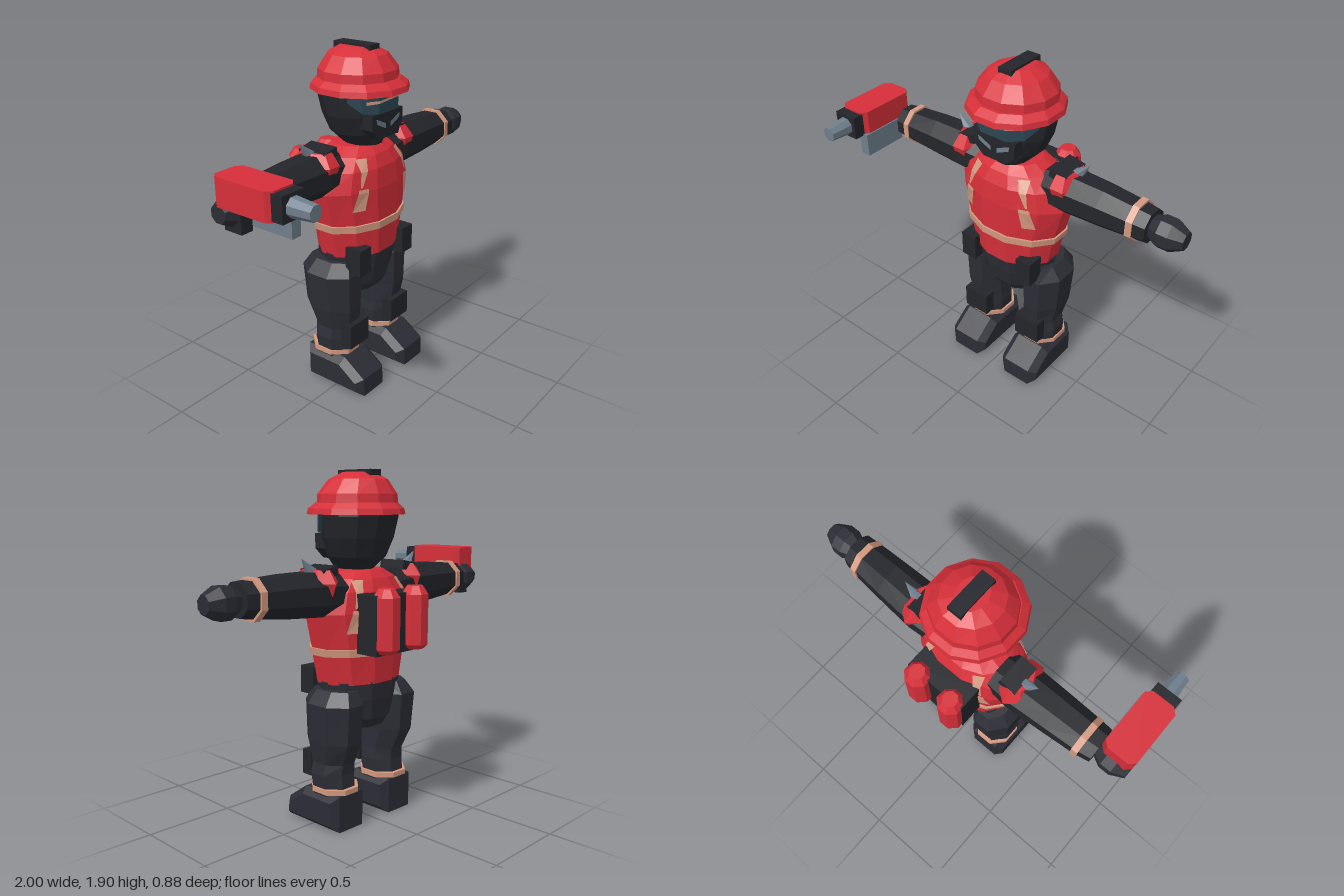
import * as THREE from 'three';

const mat = (name, color) => {
  const m = new THREE.MeshStandardMaterial({ color });
  m.name = name;
  return m;
};

// Facet a geometry so every face has its own normal
function facet(geo) {
  const g = geo.index ? geo.toNonIndexed() : geo;
  g.computeVertexNormals();
  return g;
}

// Closed loft along an axis; each ring is [t, centre1, centre2, radius1, radius2]
function loft(axis, n, rings) {
  const pos = [], idx = [], k = 1 / Math.cos(Math.PI / n);
  for (const [t, c1, c2, r1, r2] of rings) {
    for (let i = 0; i < n; i++) {
      const a = ((i + 0.5) / n) * Math.PI * 2, c = Math.cos(a) * k, s = Math.sin(a) * k;
      if (axis === 'y') pos.push(c1 + r1 * s, t, c2 + r2 * c);
      else if (axis === 'x') pos.push(t, c1 + r1 * c, c2 + r2 * s);
      else pos.push(c1 + r1 * c, c2 + r2 * s, t);
    }
  }
  const last = (rings.length - 1) * n;
  for (let i = 0; i < n; i++) {
    const j = (i + 1) % n;
    for (let o = 0; o < last; o += n) idx.push(o + i, o + j, o + n + j, o + i, o + n + j, o + n + i);
    if (i > 0 && i < n - 1) idx.push(0, i + 1, i, last, last + i, last + i + 1);
  }
  const g = new THREE.BufferGeometry();
  g.setAttribute('position', new THREE.Float32BufferAttribute(pos, 3));
  g.setIndex(idx);
  return facet(g);
}

// Open strip through pairs of points
function strip(pairs) {
  const g = new THREE.BufferGeometry(), idx = [];
  g.setAttribute('position', new THREE.Float32BufferAttribute(pairs.flat(2), 3));
  for (let i = 0; i < pairs.length - 1; i++) {
    const a = i * 2;
    idx.push(a, a + 1, a + 3, a, a + 3, a + 2);
  }
  g.setIndex(idx);
  return facet(g);
}

const shape = (pts) => new THREE.Shape(pts.map(([x, y]) => new THREE.Vector2(x, y)));

// Box given by its minimum and maximum corners
const box = (x0, x1, y0, y1, z0, z1) => facet(new THREE.BoxGeometry(x1 - x0, y1 - y0, z1 - z0)
  .translate((x0 + x1) / 2, (y0 + y1) / 2, (z0 + z1) / 2));

// Mirror across x and restore the winding
function mirrored(geo) {
  const g = geo.clone(), p = g.attributes.position, v = new THREE.Vector3(), w = new THREE.Vector3();
  g.scale(-1, 1, 1);
  for (let i = 0; i < p.count; i += 3) {
    v.fromBufferAttribute(p, i + 1);
    w.fromBufferAttribute(p, i + 2);
    p.setXYZ(i + 1, w.x, w.y, w.z);
    p.setXYZ(i + 2, v.x, v.y, v.z);
  }
  g.computeVertexNormals();
  return g;
}

export function createModel() {
  const red = mat('red armour', 0xd62f39), dark = mat('charcoal cloth', 0x2c2d35);
  const black = mat('black rubber', 0x23252a), tan = mat('tan trim', 0xd2987f);
  const teal = mat('teal visor', 0x2b4653), steel = mat('steel', 0x6f7f8c);
  tan.side = teal.side = THREE.DoubleSide;

  const model = new THREE.Group();
  model.name = 'armouredTrooper';
  const add = (name, geo, m) => {
    const mesh = new THREE.Mesh(geo, m);
    mesh.name = name;
    model.add(mesh);
  };
  const both = (name, geo, m) => {
    add(name + 'Left', geo, m);
    add(name + 'Right', mirrored(geo), m);
  };

  // Torso, belt and pelvis
  const torso = [[0.79, 0, -0.06, 0.25, 0.19], [0.97, 0, -0.06, 0.285, 0.2], [1.17, 0, -0.06, 0.335, 0.2],
    [1.28, 0, -0.06, 0.295, 0.19], [1.345, 0, -0.06, 0.22, 0.16], [1.385, 0, -0.06, 0.14, 0.12]];
  add('torso', loft('y', 12, torso), red);
  add('belt', loft('y', 12, [[0.945, 0, -0.06, 0.293, 0.21], [0.985, 0, -0.06, 0.3, 0.211]]), tan);
  add('pelvis', loft('y', 10, [[0.535, 0, -0.07, 0.155, 0.12], [0.59, 0, -0.07, 0.185, 0.155],
    [0.7, 0, -0.065, 0.235, 0.175], [0.8, 0, -0.06, 0.25, 0.185]]), dark);
  both('pouch', box(0.145, 0.24, 0.71, 0.86, 0.04, 0.14), black);

  // Shoulder straps laid over the torso, front and back; rows are [y, inner x, outer x]
  const depth = (x, y) => {
    const i = Math.max(1, torso.findIndex((r) => r[0] >= y));
    const a = torso[i - 1], b = torso[i], f = (y - a[0]) / (b[0] - a[0]);
    const rx = (a[3] + (b[3] - a[3]) * f) * 1.035, rz = (a[4] + (b[4] - a[4]) * f) * 1.035;
    return rz * Math.sqrt(1 - (x / rx) ** 2) + 0.007;
  };
  const upper = [[1.34, 0.12, 0.175], [1.28, 0.145, 0.182], [1.2, 0.185, 0.195]];
  const lower = [[1.19, 0.15, 0.207], [1.17, 0.153, 0.212], [1.07, 0.17, 0.235]];
  for (const [side, s] of [['front', 1], ['back', -1]]) {
    for (const [part, rows] of [['UpperStrap', upper], ['LowerStrap', lower]]) {
      both(side + part, strip(rows.map(([y, a, b]) =>
        [a, b].map((x) => [x, y, -0.06 + s * depth(x, y)]))), tan);
    }
  }

  // Head, visor and mask
  add('head', loft('y', 12, [[1.385, 0, -0.03, 0.09, 0.11], [1.45, 0, -0.05, 0.155, 0.15],
    [1.55, 0, -0.06, 0.195, 0.175], [1.66, 0, -0.075, 0.21, 0.185], [1.74, 0, -0.075, 0.2, 0.18]]), black);
  const visorHalf = [[0.2, 1.66, 1.635, 0.03], [0.155, 1.675, 1.58, 0.09], [0.08, 1.675, 1.57, 0.14]];
  const columns = [...visorHalf.map(([x, ...r]) => [-x, ...r]), ...visorHalf.slice().reverse()];
  add('visor', strip(columns.map(([x, t, b, z]) => [[x, t, z], [x, b, z]])), teal);
  add('visorStripe', strip([[-0.14, 0.106], [-0.08, 0.145], [0.08, 0.145], [0.14, 0.106]]
    .map(([x, z]) => [[x, 1.643 + x * 0.03, z], [x, 1.631 + x * 0.06, z]])), tan);
  add('mask', facet(new THREE.ExtrudeGeometry(shape([[-0.13, 1.49], [-0.07, 1.435], [0.07, 1.435],
    [0.13, 1.49], [0.13, 1.57], [-0.13, 1.57]]), { depth: 0.135, bevelEnabled: false })), black);
  both('maskVent', facet(new THREE.ShapeGeometry(shape([[0.02, 1.485], [0.095, 1.52], [0.1, 1.548], [0.02, 1.512]]))
    .translate(0, 0, 0.139)), steel);

  // Helmet
  add('helmetBrim', loft('y', 12, [[1.67, 0, -0.045, 0.25, 0.257], [1.7, 0, -0.045, 0.245, 0.25],
    [1.73, 0, -0.05, 0.21, 0.215]]), red);
  add('helmetDome', loft('y', 12, [[1.71, 0, -0.055, 0.212, 0.207], [1.775, 0, -0.055, 0.208, 0.202],
    [1.85, 0, -0.06, 0.15, 0.155], [1.888, 0, -0.065, 0.075, 0.09]]), red);
  add('helmetRidge', box(-0.04, 0.04, 1.86, 1.9, -0.185, 0.05), black);

  // Arms, cuffs and hands
  both('arm', loft('x', 8, [[0.2, 1.27, -0.08, 0.1, 0.11], [0.33, 1.275, -0.08, 0.115, 0.12],
    [0.55, 1.28, -0.075, 0.107, 0.11], [0.74, 1.283, -0.07, 0.092, 0.1], [0.82, 1.285, -0.065, 0.083, 0.09]]), black);
  both('cuff', loft('x', 8, [[0.72, 1.283, -0.072, 0.104, 0.108], [0.755, 1.283, -0.072, 0.102, 0.106]]), tan);
  both('hand', loft('x', 8, [[0.81, 1.285, -0.065, 0.05, 0.05], [0.87, 1.28, -0.065, 0.08, 0.078],
    [0.93, 1.28, -0.065, 0.08, 0.078], [1, 1.28, -0.065, 0.045, 0.045]]), dark);

  // Shoulder pads with spikes
  both('shoulderPad', loft('y', 7, [[1.27, 0.325, -0.08, 0.065, 0.11], [1.335, 0.325, -0.08, 0.08, 0.13],
    [1.4, 0.32, -0.08, 0.055, 0.085]]), red);
  both('shoulderMount', facet(new THREE.BoxGeometry(0.1, 0.05, 0.17).rotateZ(-0.2).translate(0.3, 1.385, -0.08)), black);
  both('shoulderSpike', facet(new THREE.ConeGeometry(0.042, 0.13, 6).rotateZ(-0.72).translate(0.388, 1.412, -0.087)), steel);

  // Legs, knee pads, ankle bands and boots
  both('leg', loft('y', 8, [[0.16, 0.195, -0.07, 0.1, 0.12], [0.3, 0.195, -0.062, 0.115, 0.115],
    [0.36, 0.192, -0.062, 0.105, 0.12], [0.48, 0.205, -0.078, 0.115, 0.155],
    [0.69, 0.205, -0.085, 0.128, 0.165], [0.76, 0.19, -0.08, 0.085, 0.13]]), dark);
  both('kneePad', box(0.11, 0.27, 0.26, 0.4, 0.03, 0.097), black);
  both('ankleBand', loft('y', 8, [[0.2, 0.193, -0.075, 0.118, 0.13], [0.228, 0.193, -0.075, 0.118, 0.13]]), tan);
  const boot = new THREE.ExtrudeGeometry(shape([[-0.2, 0], [0.2, 0], [0.195, 0.105], [0.06, 0.2], [-0.2, 0.2]]),
    { depth: 0.17, bevelSize: 0.035, bevelThickness: 0.04, bevelOffset: -0.035, bevelSegments: 1 });
  both('boot', facet(boot.rotateY(-Math.PI / 2).translate(0.28, 0, 0)), dark);

  // Backpack with twin tanks
  add('backpack', box(-0.18, 0.18, 0.965, 1.275, -0.365, -0.23), black);
  both('tank', loft('y', 8, [[0.975, 0.11, -0.368, 0.045, 0.045], [1.0, 0.11, -0.368, 0.068, 0.068],
    [1.265, 0.11, -0.368, 0.068, 0.068], [1.308, 0.11, -0.368, 0.04, 0.04]]), red);

  // Blaster held in the right hand
  const plan = shape([[-0.97, -0.26], [-0.85, -0.26], [-0.82, -0.23], [-0.82, 0.07], [-0.85, 0.1],
    [-0.97, 0.1], [-1, 0.07], [-1, -0.23]]);
  add('blasterBody', facet(new THREE.ExtrudeGeometry(plan, { depth: 0.145, bevelEnabled: false })
    .rotateX(-Math.PI / 2).translate(0, 1.315, 0)), red);
  add('blasterNose', box(-0.98, -0.84, 1.322, 1.45, 0.24, 0.315), black);
  add('blasterBarrel', loft('z', 8, [[0.3, -0.91, 1.385, 0.048, 0.048], [0.44, -0.91, 1.385, 0.037, 0.037]]), steel);
  add('blasterMagazine', box(-0.87, -0.812, 1.2, 1.33, 0, 0.26), steel);
  add('blasterGrip', box(-0.945, -0.875, 1.18, 1.32, -0.09, 0.02), black);
  return model;
}
